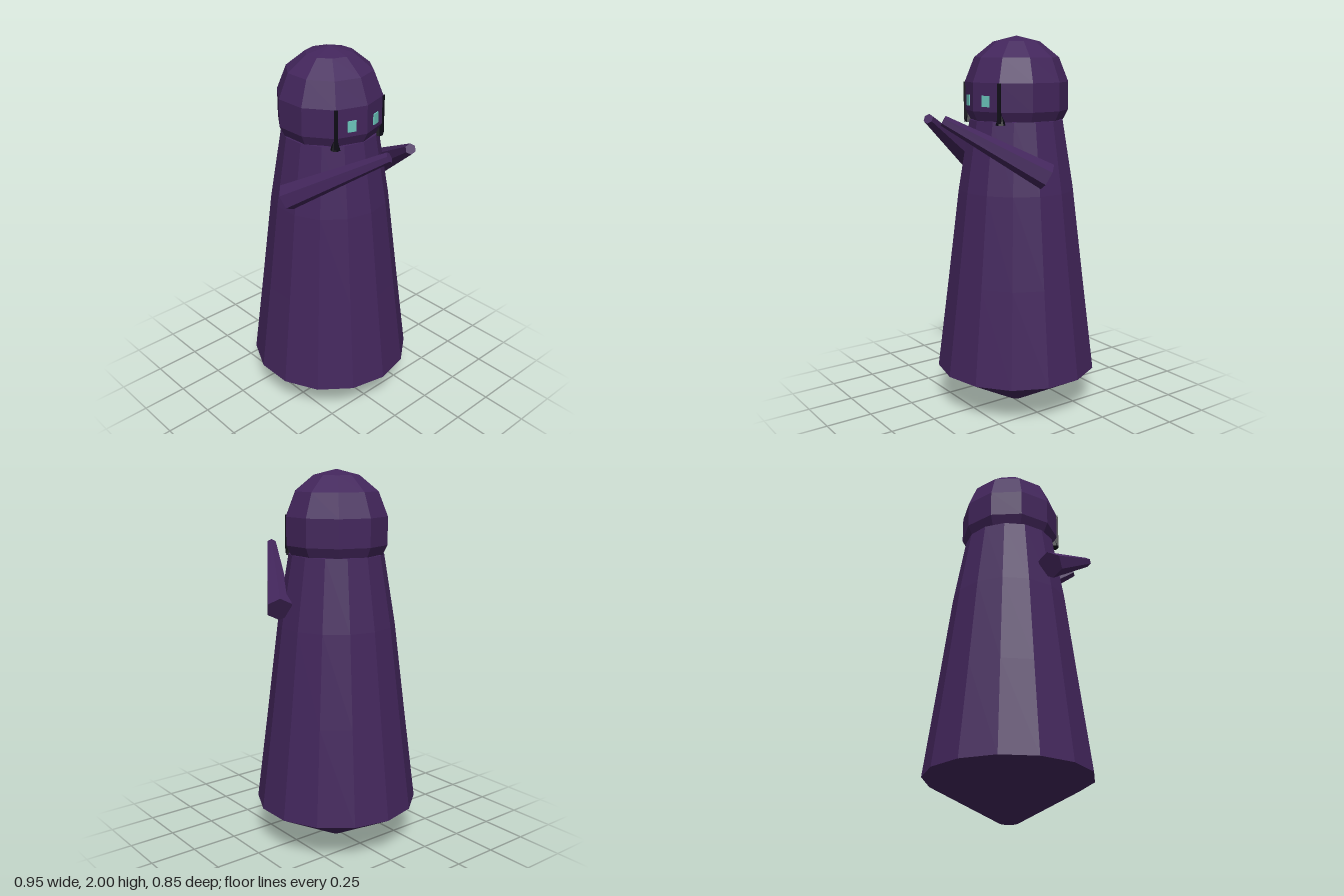
import * as THREE from 'three';

const CENTRE_X = -0.038;

function material(name, color) {
  const m = new THREE.MeshStandardMaterial({ color, flatShading: true });
  m.name = name;
  return m;
}

export function createModel() {
  const purple = material('dark purple', 0x43265c);
  const teal = material('teal', 0x6cc8be);
  const black = material('near black', 0x0b0914);
  const model = new THREE.Group();
  model.name = 'hoodedFigure';

  const add = (name, geometry, mat, parent = model) => {
    const mesh = new THREE.Mesh(geometry, mat);
    mesh.name = name;
    parent.add(mesh);
    return mesh;
  };
  // Faceted turned shape with a corner pointing forward along +x
  const turned = (profile, sides) =>
    new THREE.LatheGeometry(profile.map(([r, y]) => new THREE.Vector2(r, y)), sides, Math.PI / 2);

  // Robe tapering to a blunt point below the hem
  add('robe', turned([[0, 0], [0.05, 0], [0.437, 0.215], [0.372, 0.72], [0.312, 1.2], [0.25, 1.57], [0, 1.6]], 14), purple)
    .position.x = CENTRE_X;

  // Domed hood
  const head = new THREE.Group();
  head.name = 'head';
  head.position.x = CENTRE_X;
  model.add(head);
  add('hood', turned([[0, 1.57], [0.247, 1.57], [0.272, 1.62], [0.272, 1.765], [0.222, 1.89], [0.122, 1.97], [0, 2]], 10), purple, head);

  for (const side of [1, -1]) {
    const label = side > 0 ? 'Near' : 'Far';

    // Eye plate lying on the front facet
    const eye = add('eye' + label, new THREE.BoxGeometry(0.008, 0.056, 0.046), teal, head);
    const facet = Math.PI / 10;
    eye.position.set(0.261 * Math.cos(facet), 1.673, side * 0.261 * Math.sin(facet));
    eye.rotation.y = -side * facet;

    // Dark trim at the edge of the face, with a flared end
    const edge = Math.PI / 5;
    const strip = add('faceTrim' + label, new THREE.BoxGeometry(0.024, 0.2, 0.018), black, head);
    strip.position.set(0.266 * Math.cos(edge), 1.665, side * 0.266 * Math.sin(edge));
    strip.rotation.y = -side * edge;
    const flare = add('trimEnd' + label, new THREE.CylinderGeometry(0.008, 0.026, 0.06, 6), black, head);
    flare.position.set(0.252 * Math.cos(edge), 1.585, side * 0.252 * Math.sin(edge));

    // Tapered sleeve reaching forward and inward
    const shoulder = new THREE.Vector3(0.008, 1.303, side * 0.332);
    const hand = new THREE.Vector3(0.455, 1.588, side * 0.073);
    const along = hand.clone().sub(shoulder);
    const sleeve = add('sleeve' + label, new THREE.CylinderGeometry(0.027, 0.07, along.length(), 6), purple);
    sleeve.position.copy(shoulder).add(hand).multiplyScalar(0.5);
    sleeve.quaternion.setFromUnitVectors(new THREE.Vector3(0, 1, 0), along.normalize());
  }
  return model;
}
